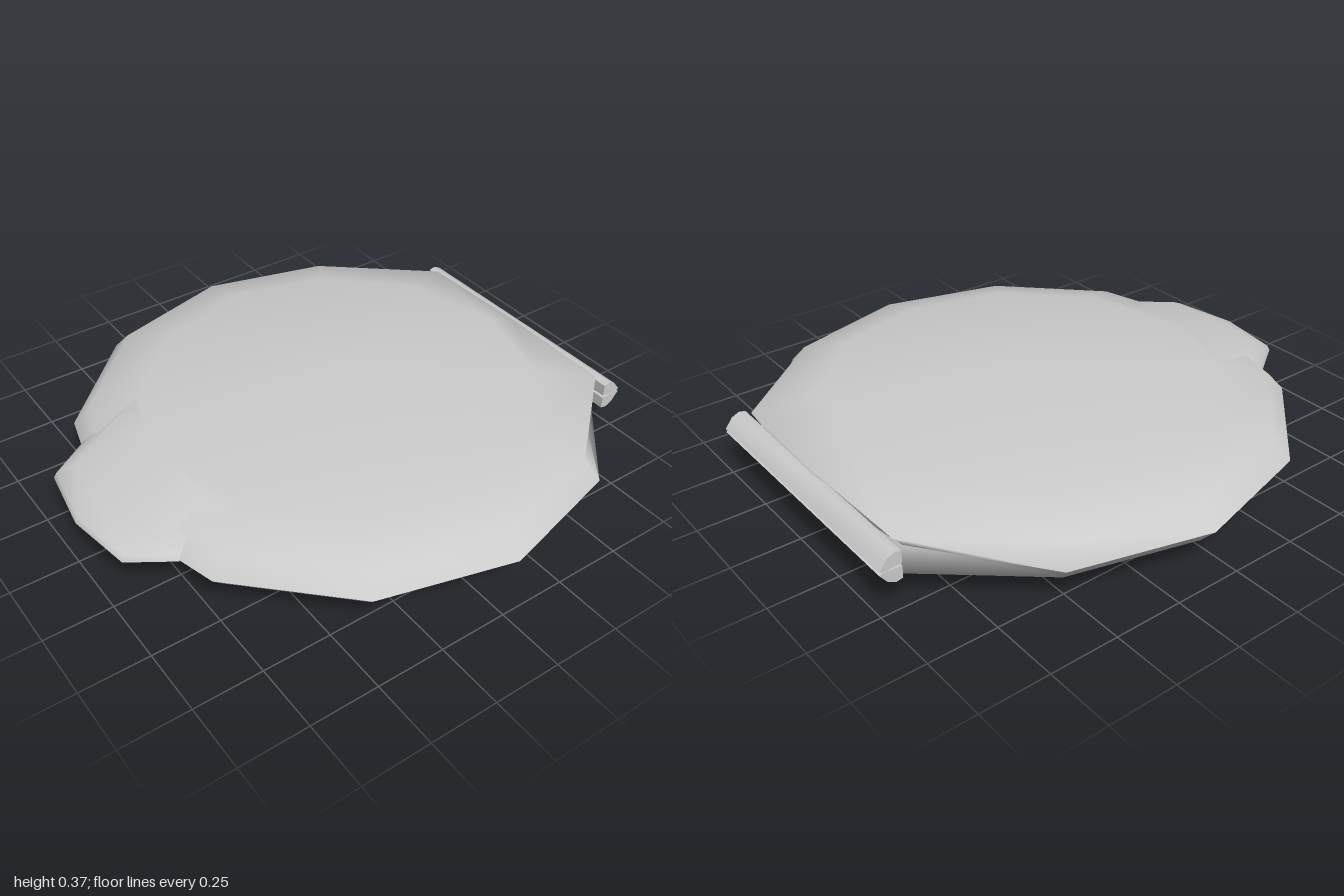
import * as THREE from 'three';
import { mergeVertices, toCreasedNormals } from 'three/addons/utils/BufferGeometryUtils.js';

const SEAM = 0.17;      // height where the two halves meet
const CENTRE_Z = -0.08; // centre of the round body
const BACK_Z = -0.93;   // flat cut for the hinge

const material = new THREE.MeshStandardMaterial({ color: 0xcccccc, side: THREE.DoubleSide });

function addMesh(group, geometry, name) {
  const mesh = new THREE.Mesh(geometry, material);
  mesh.name = name;
  group.add(mesh);
}

// Twelve-sided domed half, cut flat at the back and tucked in beside the hinge
function shellGeometry(profile) {
  const geometry = new THREE.LatheGeometry(profile.map(([r, y]) => new THREE.Vector2(r, y)), 12);
  const p = geometry.attributes.position;
  for (let i = 0; i < p.count; i++) {
    let x = p.getX(i);
    let z = p.getZ(i) + CENTRE_Z;
    const r = Math.hypot(x, z - CENTRE_Z);
    const besideHinge = z < -0.8 && Math.abs(x) > 0.4;
    if (besideHinge && r > 0.95) {
      x = Math.sign(x) * 0.43;
      z = -0.87;
    } else if (besideHinge) {
      x = Math.sign(x) * 0.46;
      z = -0.92;
    }
    p.setXYZ(i, x, p.getY(i), Math.max(z, BACK_Z));
  }
  geometry.deleteAttribute('normal');
  geometry.deleteAttribute('uv');
  const merged = mergeVertices(geometry);
  merged.computeVertexNormals();
  return merged;
}

// Thumb tab: cross-section arcs from the bottom edge up onto the dome
function tabGeometry() {
  const arcs = [
    { y: SEAM, half: [[0, 0.99], [0.25, 0.95], [0.35, 0.8]] },
    { y: 0.19, half: [[0, 0.98], [0.245, 0.94], [0.345, 0.79]] },
    { y: 0.222, half: [[0, 0.91], [0.22, 0.88], [0.325, 0.76]] },
    { y: 0.288, half: [[0, 0.64], [0.18, 0.63], [0.34, 0.57]] },
  ];
  const positions = [];
  const indices = [];
  arcs.forEach(({ y, half }, row) => {
    const [middle, side, end] = half;
    const arc = [[-end[0], end[1]], [-side[0], side[1]], middle, side, end];
    arc.forEach(([x, z], i) => {
      positions.push(x, y, z);
      if (row < arcs.length - 1 && i < 4) {
        const a = row * 5 + i;
        indices.push(a, a + 1, a + 5, a + 1, a + 6, a + 5);
      }
    });
  });
  // flat underside
  const base = positions.length / 3;
  positions.push(0, SEAM, 0.72);
  for (let i = 0; i < 5; i++) positions.push(positions[i * 3], SEAM, positions[i * 3 + 2]);
  for (let i = 1; i < 5; i++) indices.push(base, base + i + 1, base + i);
  const geometry = new THREE.BufferGeometry();
  geometry.setAttribute('position', new THREE.Float32BufferAttribute(positions, 3));
  geometry.setIndex(indices);
  geometry.computeVertexNormals();
  return geometry;
}

// Half roll of the hinge; direction +1 is above the seam, -1 below
function hingeGeometry(direction) {
  const profile = [[-0.92, 0.005], [-0.92, 0.05], [-0.945, 0.055], [-0.972, 0.042], [-1, 0.006], [-0.985, 0]];
  const shape = new THREE.Shape(
    profile.map(([z, h]) => new THREE.Vector2(z, SEAM + direction * h))
  );
  const geometry = new THREE.ExtrudeGeometry(shape, { depth: 1.02, bevelEnabled: false });
  geometry.rotateY(-Math.PI / 2);
  geometry.translate(0.51, 0, 0);
  return toCreasedNormals(geometry, 1);
}

export function createModel() {
  const model = new THREE.Group();
  model.name = 'hingedCase';

  // Domed halves
  addMesh(model, shellGeometry([[0.97, SEAM], [0.91, 0.235], [0.72, 0.29], [0, 0.37]]), 'upperShell');
  addMesh(model, shellGeometry([[0, 0], [0.72, 0.042], [0.91, 0.105], [0.97, SEAM]]), 'lowerShell');

  // Front tab and back hinge
  addMesh(model, tabGeometry(), 'thumbTab');
  addMesh(model, hingeGeometry(1), 'upperHinge');
  addMesh(model, hingeGeometry(-1), 'lowerHinge');
  return model;
}
